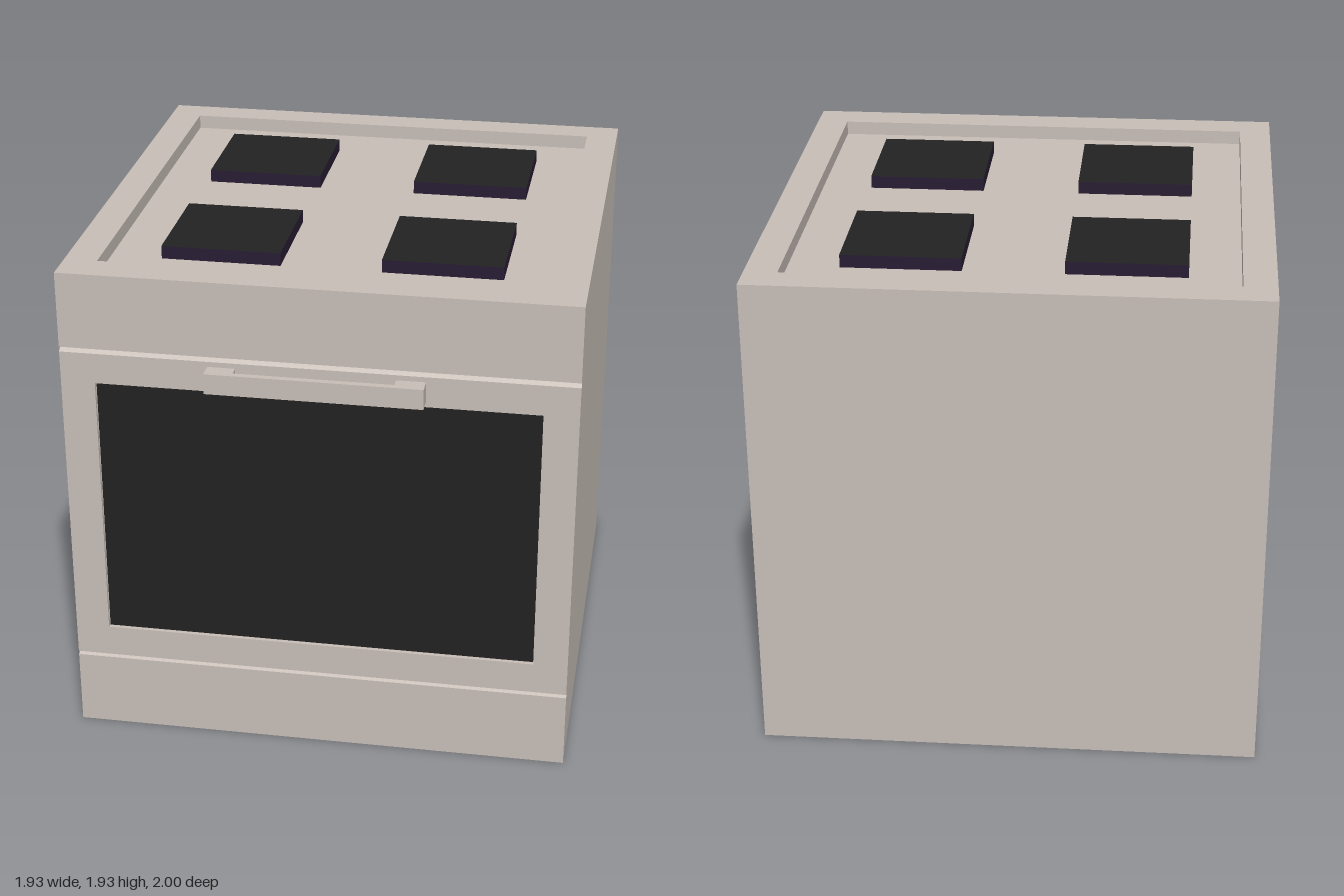
import * as THREE from 'three';

const W = 1.93, HALF = W / 2;
const BACK = -1, CORE_FRONT = 0.92, FRONT = 0.935;
const FLOOR = 1.88, TOP = 1.935;

export function createModel() {
  const model = new THREE.Group();
  model.name = 'stove';

  const makeMat = (name, color) => {
    const m = new THREE.MeshStandardMaterial({ color });
    m.name = name;
    return m;
  };
  const enamel = makeMat('beige enamel', 0xc8beb7);
  const black = makeMat('black glass', 0x222222);
  const plum = makeMat('dark plum', 0x281c33);

  const add = (name, geometry, material) => {
    const mesh = new THREE.Mesh(geometry, material);
    mesh.name = name;
    model.add(mesh);
    return mesh;
  };
  // Box given by its lower and upper bounds
  const box = (x0, x1, y0, y1, z0, z1) =>
    new THREE.BoxGeometry(x1 - x0, y1 - y0, z1 - z0)
      .translate((x0 + x1) / 2, (y0 + y1) / 2, (z0 + z1) / 2);
  const polygon = (points, Type = THREE.Shape) =>
    new Type(points.map(([x, y]) => new THREE.Vector2(x, y)));
  const rect = (x0, x1, y0, y1, Type) =>
    polygon([[x0, y0], [x1, y0], [x1, y1], [x0, y1]], Type);
  const extrude = (shape, depth) =>
    new THREE.ExtrudeGeometry(shape, { depth, bevelEnabled: false });
  // Side profile of [z, y] points swept over the full width
  const sweep = (points) =>
    extrude(polygon(points), W).rotateY(-Math.PI / 2).translate(HALF, 0, 0);
  // Plan outline in [x, -z], raised from y0 to y1
  const raise = (shape, y0, y1) =>
    extrude(shape, y1 - y0).rotateX(-Math.PI / 2).translate(0, y0, 0);

  // Cabinet up to the sunken cooktop floor
  add('cabinet', box(-HALF, HALF, 0, FLOOR, BACK, CORE_FRONT), enamel);

  // Raised rim around the cooktop
  const rim = rect(-HALF, HALF, -FRONT, -BACK);
  rim.holes.push(rect(-0.84, 0.84, -0.80, 0.875, THREE.Path));
  add('cooktopRim', raise(rim, FLOOR, TOP), enamel);

  // Front panels, separated by narrow grooves with a sloped lower lip
  add('drawerPanel', sweep([
    [CORE_FRONT, 0], [FRONT, 0], [FRONT, 0.3], [CORE_FRONT, 0.308],
  ]), enamel);
  add('controlPanel', sweep([
    [CORE_FRONT, 1.64], [FRONT, 1.64], [FRONT, FLOOR], [CORE_FRONT, FLOOR],
  ]), enamel);
  const door = rect(-HALF, HALF, 0.315, 1.62);
  door.holes.push(rect(-0.835, 0.835, 0.44, 1.5, THREE.Path));
  add('ovenDoor', extrude(door, FRONT - CORE_FRONT).translate(0, 0, CORE_FRONT), enamel);
  add('doorLip', sweep([
    [CORE_FRONT, 1.62], [FRONT, 1.62], [CORE_FRONT, 1.632],
  ]), enamel);

  // Oven window set back in the door
  add('ovenWindow', box(-0.832, 0.832, 0.443, 1.497, CORE_FRONT, CORE_FRONT + 0.003), black);

  // Bracket handle with an open grip
  const handle = polygon([
    [-0.405, -FRONT], [-0.405, -1], [0.405, -1], [0.405, -FRONT],
    [0.295, -FRONT], [0.295, -0.975], [-0.3, -0.975], [-0.3, -FRONT],
  ]);
  add('doorHandle', raise(handle, 1.52, 1.6), enamel);

  // Four square hotplates: black tops, plum sides
  const plateMats = [plum, plum, black, plum, plum, plum];
  for (const side of [-1, 1]) {
    for (const z of [-0.455, 0.382]) {
      const plate = add('hotplate', new THREE.BoxGeometry(0.454, 0.05, 0.452), plateMats);
      plate.position.set(side * 0.418, FLOOR + 0.025, z);
    }
  }
  return model;
}
